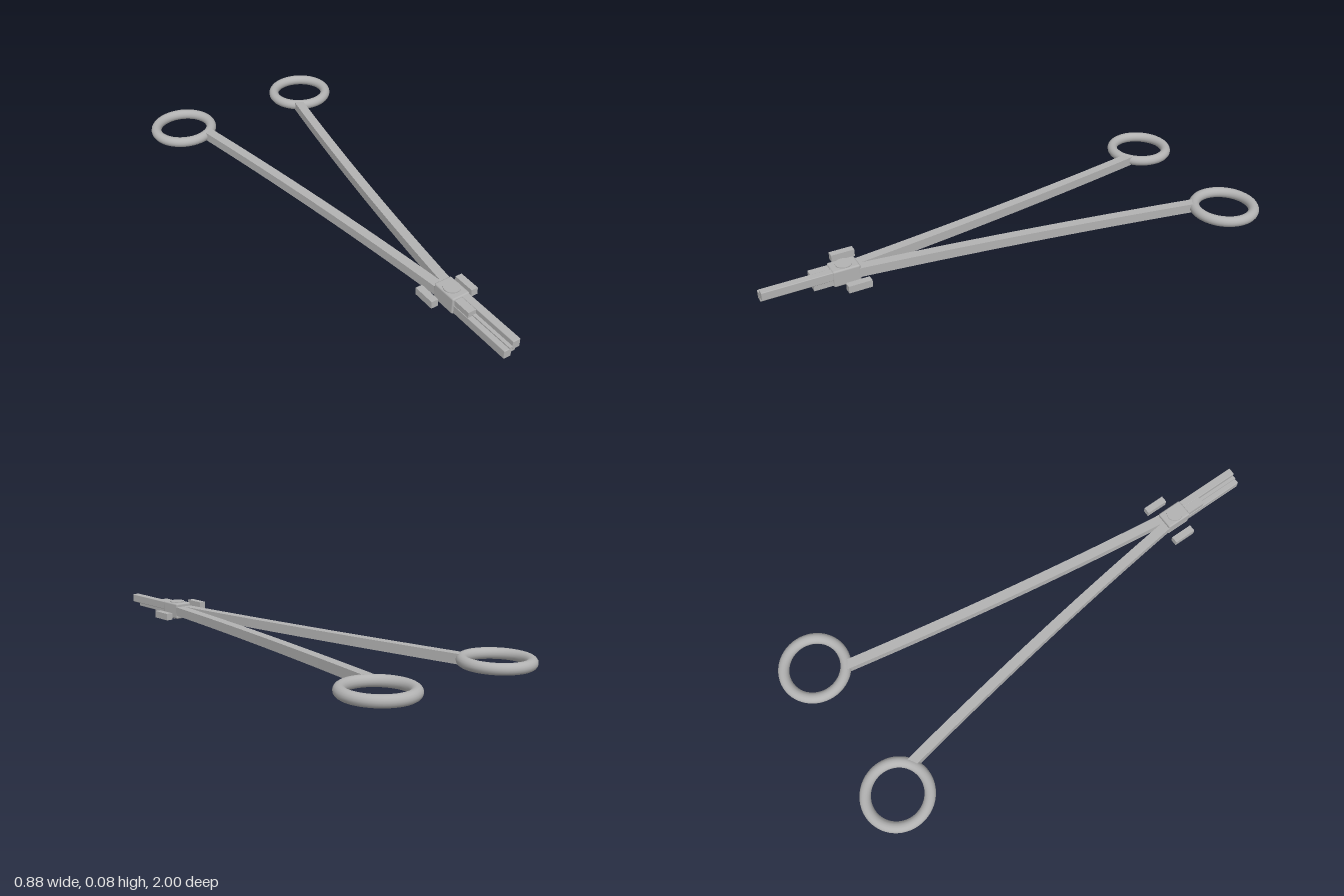
import * as THREE from 'three';
import { RoundedBoxGeometry } from 'three/addons/geometries/RoundedBoxGeometry.js';

export function createModel() {
  const model = new THREE.Group();
  model.name = 'surgicalClamp';
  const steel = new THREE.MeshStandardMaterial({ name: 'steel', color: 0xb2b2b2 });
  const midY = 0.04;

  function add(name, geometry, x = 0, y = 0, z = 0) {
    const mesh = new THREE.Mesh(geometry, steel);
    mesh.name = name;
    mesh.position.set(x, y, z);
    model.add(mesh);
    return mesh;
  }

  // Box given by its lower and upper corners
  function block(name, a, b, bevel = 0) {
    const [w, h, d] = a.map((v, i) => b[i] - v);
    const geometry = bevel ? new RoundedBoxGeometry(w, h, d, 2, bevel) : new THREE.BoxGeometry(w, h, d);
    return add(name, geometry, (a[0] + b[0]) / 2, (a[1] + b[1]) / 2, (a[2] + b[2]) / 2);
  }

  // Slightly bowed flat bar in the plan view, extruded upwards
  function armGeometry(side) {
    const curve = new THREE.QuadraticBezierCurve(
      new THREE.Vector2(side * 0.234, -0.755),
      new THREE.Vector2(side * 0.095, -0.03),
      new THREE.Vector2(side * 0.014, 0.66)
    );
    const outer = [], inner = [];
    for (let i = 0; i <= 16; i++) {
      const p = curve.getPoint(i / 16), t = curve.getTangent(i / 16);
      const half = 0.0195;
      outer.push(new THREE.Vector2(p.x - t.y * half, p.y + t.x * half));
      inner.unshift(new THREE.Vector2(p.x + t.y * half, p.y - t.x * half));
    }
    const geometry = new THREE.ExtrudeGeometry(new THREE.Shape([...outer, ...inner]), {
      depth: 0.038, bevelEnabled: false
    });
    return geometry.rotateX(Math.PI / 2);
  }

  // Finger rings and long arms
  for (const side of [-1, 1]) {
    const label = side > 0 ? 'left' : 'right';
    add(label + 'FingerRing', new THREE.TorusGeometry(0.121, 0.0215, 16, 56).rotateX(Math.PI / 2),
      side * 0.3, midY, -0.858);
    add(label + 'Arm', armGeometry(side), 0, midY + 0.019, 0);
  }

  // Box joint with its pivot pin
  block('boxJoint', [-0.038, 0.005, 0.628], [0.037, 0.074, 0.735], 0.007);
  add('pivotPin', new THREE.CylinderGeometry(0.032, 0.032, 0.075, 32), -0.001, midY, 0.681);

  // Stops floating beside the joint
  block('rightStop', [-0.105, 0.042, 0.61], [-0.077, 0.071, 0.702]);
  block('leftStop', [0.074, 0.011, 0.61], [0.102, 0.04, 0.702]);

  // Interlocking jaws, each the other turned half way round the long axis
  for (const s of [1, -1]) {
    const label = s > 0 ? 'upper' : 'lower';
    const part = (name, x0, x1, y0, y1, z0, z1, bevel) => block(label + name,
      [Math.min(s * x0, s * x1), midY + Math.min(s * y0, s * y1), z0],
      [Math.max(s * x0, s * x1), midY + Math.max(s * y0, s * y1), z1], bevel);
    part('Jaw', 0.002, 0.033, -0.005, 0.03, 0.72, 1, 0.003);
    part('JawLip', -0.012, 0.004, 0.003, 0.01, 0.72, 1);
    part('JawRoot', -0.031, 0.003, 0, 0.027, 0.72, 0.81);
  }

  return model;
}
